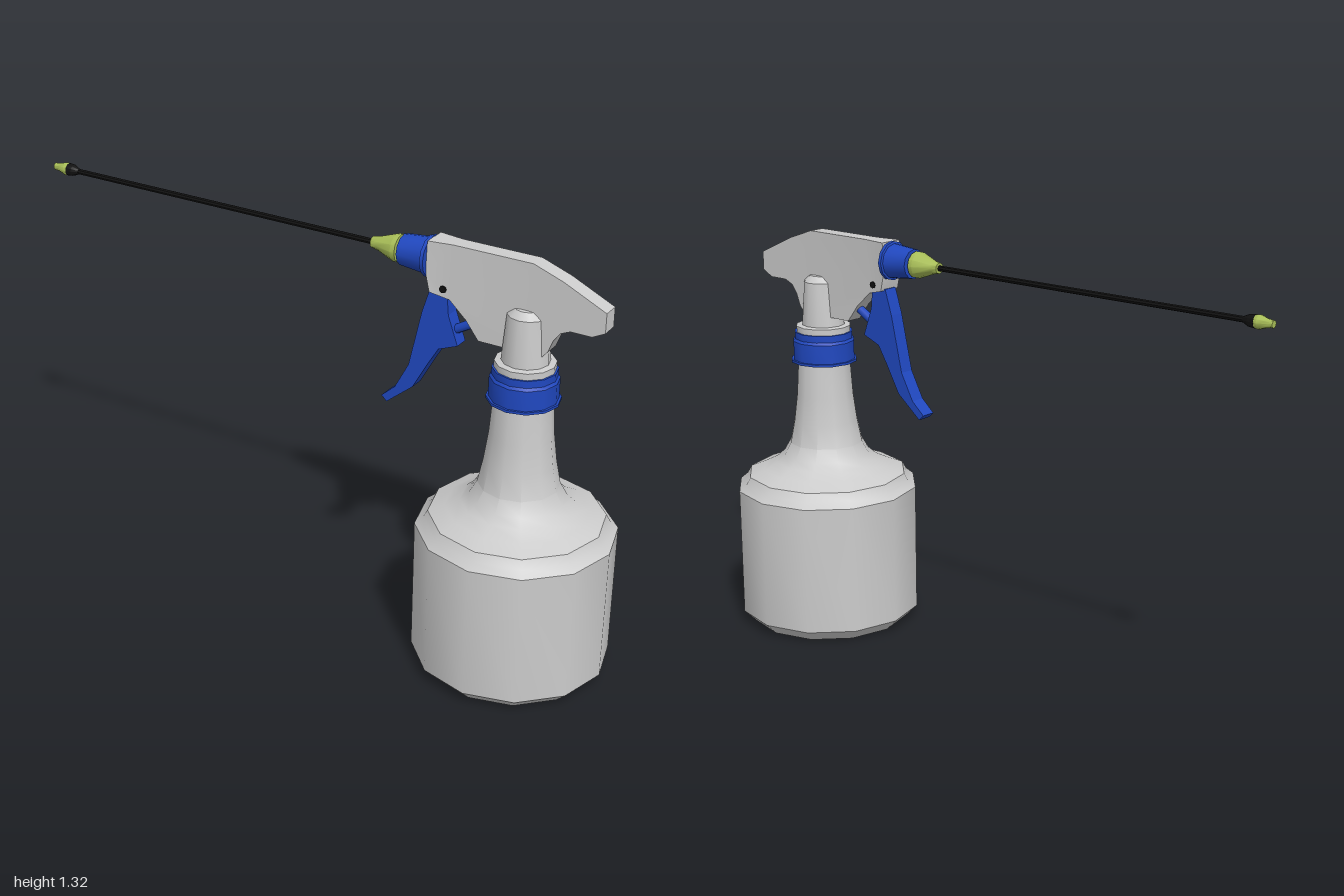
import * as THREE from 'three';
import { toCreasedNormals } from 'three/addons/utils/BufferGeometryUtils.js';

const CX = 0.697;      // bottle axis
const NOZZLE_Y = 1.26; // spray axis
const GREY = 0xcccccc, BLUE = 0x2048c0, LIME = 0xa9bf58, BLACK = 0x111111;

const material = (color) => new THREE.MeshStandardMaterial({ color });

function addMesh(group, name, geometry, color) {
  const mesh = new THREE.Mesh(geometry, material(color));
  mesh.name = name;
  group.add(mesh);
  return mesh;
}

// Turned part: profile of [radius, height], rising
function turned(profile, sides = 12) {
  const points = profile.map(([r, y]) => new THREE.Vector2(r, y));
  return toCreasedNormals(new THREE.LatheGeometry(points, sides), 0.56);
}

// Turned part lying along the spray axis: profile of [radius, x], rising
function turnedAlongX(profile, sides = 12) {
  return turned(profile, sides).rotateZ(-Math.PI / 2).translate(0, NOZZLE_Y, 0);
}

// Side outline extruded evenly about z = 0
function slab(outline, halfWidth) {
  const shape = new THREE.Shape(outline.map(([x, y]) => new THREE.Vector2(x, y)));
  return new THREE.ExtrudeGeometry(shape, { depth: halfWidth * 2, bevelEnabled: false })
    .translate(0, 0, -halfWidth);
}

export function createModel() {
  const model = new THREE.Group();
  model.name = 'sprayBottle';

  // Bottle with rounded shoulder and long neck
  addMesh(model, 'bottle', turned([
    [0, 0], [0.262, 0], [0.302, 0.04], [0.302, 0.465], [0.278, 0.485], [0.264, 0.51],
    [0.215, 0.53], [0.17, 0.552], [0.145, 0.575], [0.122, 0.615], [0.107, 0.69],
    [0.095, 0.78], [0.087, 0.9], [0, 0.9],
  ]), GREY).position.x = CX;

  // Screw collar
  addMesh(model, 'collar', turned([
    [0, 0.89], [0.109, 0.89], [0.109, 0.898], [0.102, 0.898], [0.102, 0.96],
    [0.096, 0.968], [0.096, 0.99], [0, 0.99],
  ]), BLUE).position.x = CX;

  // Stem joining collar and head
  addMesh(model, 'stem', turned([
    [0, 0.985], [0.09, 0.985], [0.09, 1.01], [0.071, 1.013], [0.06, 1.155],
    [0.04, 1.175], [0, 1.18],
  ]), GREY).position.x = CX;

  // Spray head, flared towards the nozzle
  const head = slab([
    [0.39, 1.32], [0.387, 1.22], [0.4, 1.165], [0.46, 1.15], [0.515, 1.1], [0.557, 1.045],
    [0.757, 1.045], [0.775, 1.065], [0.79, 1.105], [0.81, 1.132], [0.84, 1.145],
    [0.905, 1.145], [0.943, 1.165], [0.943, 1.225], [0.81, 1.287], [0.717, 1.32], [0.47, 1.32],
  ].reverse(), 0.027);
  const p = head.attributes.position;
  for (let i = 0; i < p.count; i++) {
    if (p.getX(i) < 0.42) p.setZ(i, p.getZ(i) * 1.45);
  }
  head.computeVertexNormals();
  addMesh(model, 'sprayHead', toCreasedNormals(head, 0.4), GREY);

  // Trigger, its push rod and its pivot pin
  addMesh(model, 'trigger', slab([
    [0.395, 1.17], [0.37, 1.09], [0.35, 1], [0.33, 0.91], [0.285, 0.825], [0.24, 0.785],
    [0.258, 0.768], [0.345, 0.84], [0.395, 0.93], [0.428, 0.985], [0.49, 1.01],
    [0.457, 1.1], [0.45, 1.17],
  ], 0.024), BLUE);
  const rod = addMesh(model, 'pushRod', new THREE.CylinderGeometry(0.014, 0.014, 0.14, 8), BLUE);
  rod.position.set(0.495, 1.065, 0);
  rod.rotation.z = -Math.PI / 3;
  const pin = addMesh(model, 'pivotPin', new THREE.CylinderGeometry(0.011, 0.011, 0.07, 8), BLACK);
  pin.position.set(0.44, 1.18, 0);
  pin.rotation.x = Math.PI / 2;

  // Nozzle: blue sleeve and lime cone
  addMesh(model, 'nozzleSleeve', turnedAlongX([
    [0, 0.292], [0.047, 0.292], [0.055, 0.375], [0.062, 0.377], [0.062, 0.388], [0, 0.388],
  ]), BLUE);
  addMesh(model, 'nozzleCone', turnedAlongX([
    [0, 0.188], [0.017, 0.188], [0.021, 0.21], [0.042, 0.268], [0.042, 0.283],
    [0.025, 0.284], [0.025, 0.3], [0, 0.3],
  ]), LIME);

  // Long lance and its tip
  addMesh(model, 'lance', turnedAlongX([
    [0, -0.95], [0.009, -0.95], [0.009, 0.2], [0, 0.2],
  ], 8), BLACK);
  addMesh(model, 'tipFerrule', turnedAlongX([
    [0, -0.945], [0.02, -0.945], [0.018, -0.925], [0.009, -0.905], [0, -0.905],
  ]), BLACK);
  addMesh(model, 'lanceTip', turnedAlongX([
    [0, -1], [0.011, -1], [0.013, -0.98], [0.021, -0.955], [0.018, -0.938], [0, -0.938],
  ]), LIME);

  return model;
}
